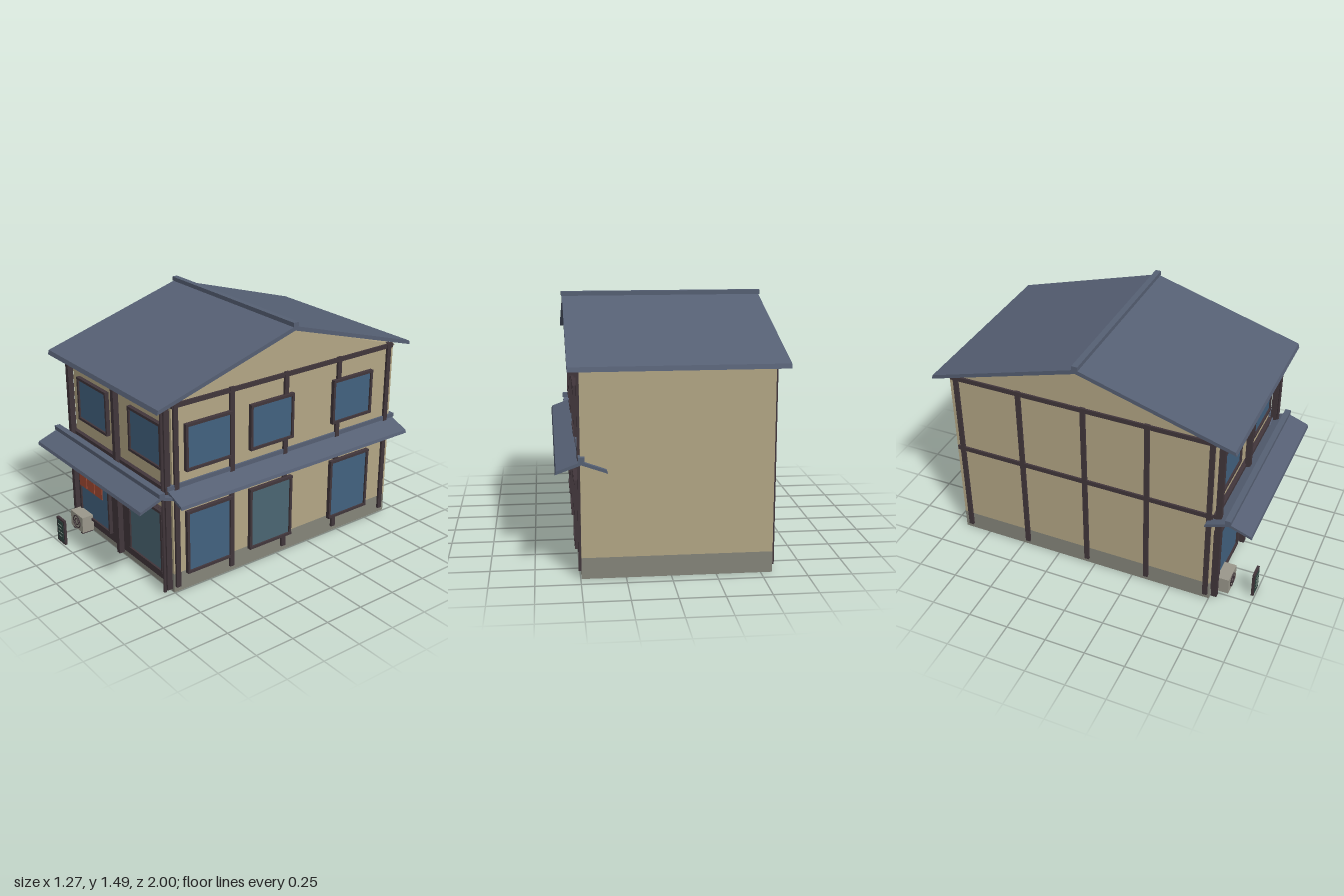
import * as THREE from 'three';

const mat = (color, extra = {}) => new THREE.MeshStandardMaterial({ color, ...extra });

export function createModel() {
  const model = new THREE.Group();
  model.name = 'house';

  const wall = mat(0xb3a685), stone = mat(0x85857a), wood = mat(0x41363b), roof = mat(0x566074);
  const glass = mat(0x42627f), paleGlass = mat(0x4a6572), fabric = mat(0xa34b34);
  const metal = mat(0x9a978b), board = mat(0x2f4540), chalk = mat(0x93a096);

  const add = (name, geometry, material, parent = model) => {
    const mesh = new THREE.Mesh(geometry, material);
    mesh.name = name;
    parent.add(mesh);
    return mesh;
  };
  // Box given by its lower and upper limits on each axis
  const box = (name, material, x0, x1, y0, y1, z0, z1, parent = model) => {
    const mesh = add(name, new THREE.BoxGeometry(x1 - x0, y1 - y0, z1 - z0), material, parent);
    mesh.position.set((x0 + x1) / 2, (y0 + y1) / 2, (z0 + z1) / 2);
    return mesh;
  };
  const prism = (points, length) => {
    const shape = new THREE.Shape(points.map(([x, y]) => new THREE.Vector2(x, y)));
    return new THREE.ExtrudeGeometry(shape, { depth: length, bevelEnabled: false }).translate(0, 0, -length / 2);
  };

  // Body
  const X0 = -0.565, X1 = 0.495, Z0 = -0.92, Z1 = 0.75, RIDGE = -0.06;
  box('plinth', stone, X0, X1, 0, 0.12, Z0, Z1);
  box('walls', wall, X0, X1, 0.12, 1.155, Z0, Z1);
  const gable = add('gable', prism([[-0.88, 0], [0.88, 0], [0, 0.285]], X1 - X0), wall);
  gable.rotation.y = Math.PI / 2;
  gable.position.set((X0 + X1) / 2, 1.155, RIDGE);

  // Two-sided roof with a ridge bar; its length runs along local z
  const pitchedRoof = (name, half, rise, thick, length) => {
    const group = new THREE.Group();
    group.name = name;
    model.add(group);
    add('roofSlopes', prism([
      [-half, 0], [0, rise], [half, 0], [half - thick * 0.3, 0 + thick], [0, rise + thick], [-half + thick * 0.3, thick],
    ], length), roof, group);
    const top = rise + thick;
    box('ridgeBar', roof, -0.018, 0.018, top - 0.002, top + 0.024, -length / 2 - 0.006, length / 2 + 0.006, group);
    return group;
  };
  const mainRoof = pitchedRoof('mainRoof', 0.94, 0.278, 0.026, 1.19);
  mainRoof.rotation.y = Math.PI / 2;
  mainRoof.position.set(-0.035, 1.162, RIDGE);
  const frontAwning = pitchedRoof('frontAwning', 0.142, 0.05, 0.019, 1.16);
  frontAwning.rotation.y = Math.PI / 2;
  frontAwning.position.set(-0.035, 0.6, 0.855);
  const sideAwning = pitchedRoof('sideAwning', 0.142, 0.05, 0.019, 1.73);
  sideAwning.position.set(0.489, 0.6, -0.082);

  // Side timber posts and beams on both long walls
  for (const x of [X0, X1]) {
    for (const z of [0.727, 0.343, -0.052, -0.464, -0.876])
      box('sidePost', wood, x - 0.015, x + 0.015, 0.035, 1.18, z - 0.015, z + 0.015);
    for (const y of [0.648, 1.162])
      box('sideBeam', wood, x - 0.012, x + 0.012, y - 0.014, y + 0.014, Z0 + 0.01, Z1);
  }

  // Front posts, beam and dark shop front
  for (const x of [-0.555, -0.035, 0.485])
    box('frontPost', wood, x - 0.015, x + 0.015, 0.033, 1.155, 0.765, 0.8);
  box('frontBeam', wood, X0, X1, 0.634, 0.662, 0.75, 0.775);
  box('shopFront', wood, -0.535, 0.47, 0.05, 0.51, 0.745, 0.766);
  const pipe = add('drainPipe', new THREE.CylinderGeometry(0.009, 0.009, 1.15, 10), wood);
  pipe.position.set(0.485, 0.597, 0.808);

  // Framed window facing local +z, with the frame bars crossing at the corners
  const windowUnit = (w, h, pane) => {
    const group = new THREE.Group();
    group.name = 'window';
    model.add(group);
    box('pane', pane, -w / 2, w / 2, -h / 2, h / 2, 0, 0.014, group);
    const b = 0.008;
    for (const s of [-1, 1]) {
      const x = s * w / 2, y = s * h / 2;
      box('frameSide', wood, x - b, x + b, -h / 2 - b, h / 2 + b, 0, 0.024, group);
      box('frameRail', wood, -w / 2 - b, w / 2 + b, y - b, y + b, 0, 0.026, group);
    }
    return group;
  };
  for (const x of [-0.32, 0.253])
    windowUnit(0.32, 0.262, glass).position.set(x, 0.897, Z1);
  windowUnit(0.342, 0.388, glass).position.set(-0.326, 0.307, 0.764);
  windowUnit(0.342, 0.388, paleGlass).position.set(0.253, 0.307, 0.764);
  [0.51, 0.059, -0.572].forEach((z, i) => {
    const upper = windowUnit(0.305, 0.268, glass);
    const lower = windowUnit(0.305, 0.384, i === 1 ? paleGlass : glass);
    upper.position.set(X1 + 0.003, 0.9, z);
    lower.position.set(X1 + 0.003, 0.307, z);
    upper.rotation.y = lower.rotation.y = Math.PI / 2;
  });

  // Hanging cloth banners under the front awning
  for (let i = 0; i < 3; i++) {
    const x = -0.295 + i * 0.09;
    box('banner', fabric, x - 0.041, x + 0.041, 0.398, 0.53, 0.869, 0.874);
  }

  // Outdoor air unit with fan guard
  box('airUnit', metal, -0.515, -0.37, 0.035, 0.14, 0.775, 0.855);
  for (const r of [0.02, 0.04]) {
    const ring = add('fanGuard', new THREE.TorusGeometry(r, 0.004, 6, 24), wood);
    ring.position.set(-0.442, 0.087, 0.856);
  }
  for (const x of [-0.49, -0.395])
    box('airUnitFoot', wood, x - 0.01, x + 0.01, 0.02, 0.035, 0.775, 0.85);

  // Standing board with plain stripes
  box('boardFrame', wood, -0.445, -0.353, 0.004, 0.17, 0.977, 0.993);
  box('boardFace', board, -0.434, -0.364, 0.018, 0.156, 0.99, 0.996);
  for (let i = 0; i < 4; i++)
    box('boardStripe', chalk, -0.422, -0.376, 0.051 + i * 0.025, 0.055 + i * 0.025, 0.994, 0.998);

  return model;
}
